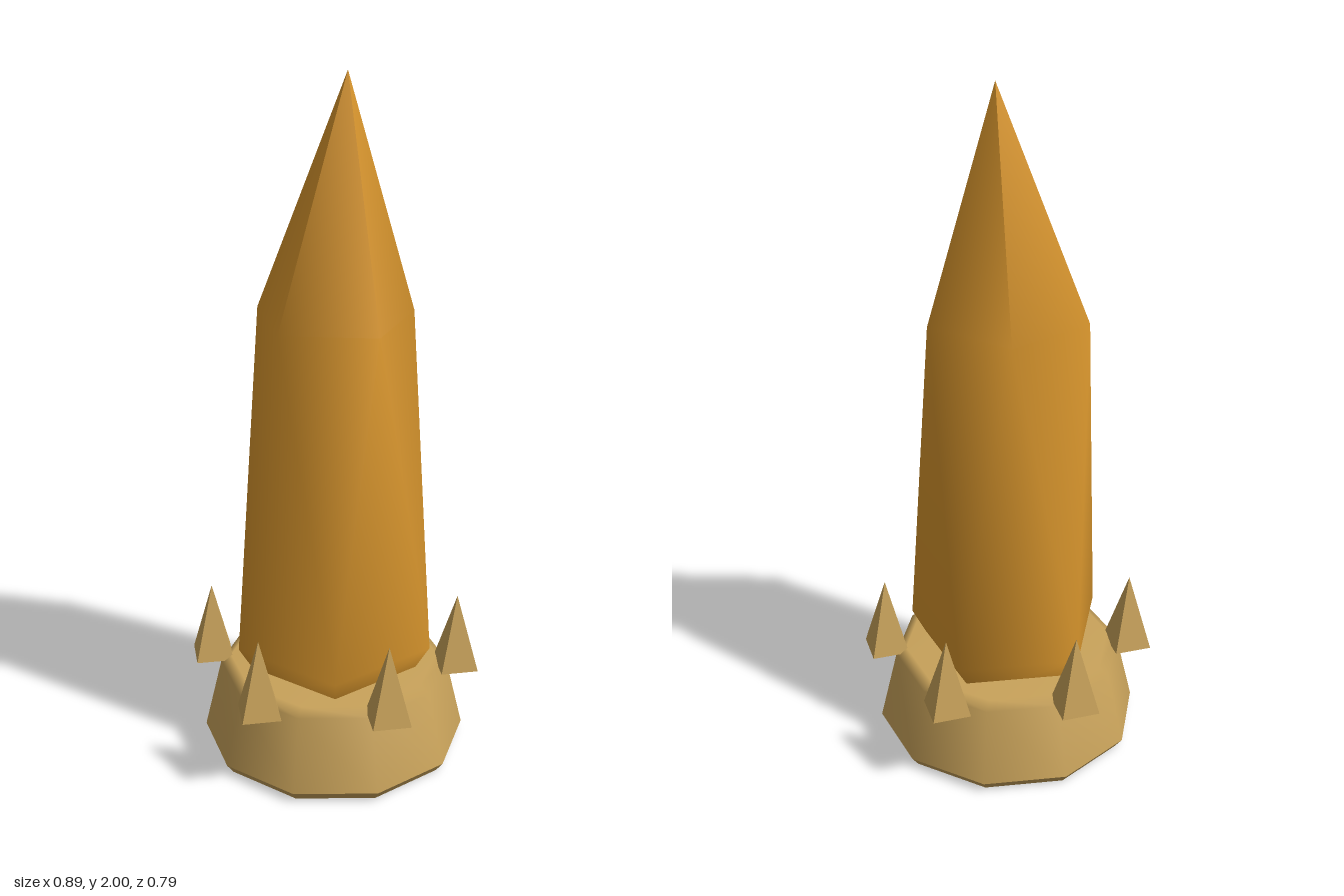
import * as THREE from 'three';

const stone = new THREE.MeshStandardMaterial({ name: 'sandStone', color: 0xc8a25a });
const stoneFlat = stone.clone(); // same colour, faceted
stoneFlat.name = 'sandStoneFaceted';
stoneFlat.flatShading = true;
const amber = new THREE.MeshStandardMaterial({ name: 'amber', color: 0xd9962d });

const SIDES = 5;

// Leaning five-sided crystal: stacked rings, the upper one twisted, ending in a point
function crystalGeometry() {
  const rings = [
    { r: 0.22, y: 0.21, turn: 0 },
    { r: 0.296, y: 0.34, turn: 0 },
    { r: 0.232, y: 1.34, turn: 41 },
  ];
  const pos = [], index = [];
  for (const { r, y, turn } of rings) {
    for (let i = 0; i < SIDES; i++) {
      const a = THREE.MathUtils.degToRad(turn + i * 360 / SIDES);
      pos.push(r * Math.cos(a), y, r * Math.sin(a));
    }
  }
  for (let k = 0; k < rings.length - 1; k++) {
    for (let i = 0; i < SIDES; i++) {
      const j = (i + 1) % SIDES;
      const a = k * SIDES + i, b = k * SIDES + j;
      index.push(a, a + SIDES, b, b, a + SIDES, b + SIDES);
    }
  }
  // Separate tip corner per face keeps the point crisp
  const top = (rings.length - 1) * SIDES;
  for (let i = 0; i < SIDES; i++) {
    index.push(top + i, pos.length / 3, top + (i + 1) % SIDES);
    pos.push(0.065, 2, 0);
  }
  const g = new THREE.BufferGeometry();
  g.setAttribute('position', new THREE.Float32BufferAttribute(pos, 3));
  g.setIndex(index);
  g.computeVertexNormals();
  return g;
}

export function createModel() {
  const model = new THREE.Group();
  model.name = 'crystalOnPedestal';
  const add = (name, geometry, material) => {
    const mesh = new THREE.Mesh(geometry, material);
    mesh.name = name;
    model.add(mesh);
    return mesh;
  };
  const lathe = (pts) => new THREE.LatheGeometry(pts.map(([x, y]) => new THREE.Vector2(x, y)), 10);

  // Ten-sided pedestal, split where its edges are sharp
  add('pedestalBottom', lathe([[0, 0], [0.37, 0]]), stone);
  add('pedestalFoot', lathe([[0.37, 0], [0.392, 0.03]]), stone);
  add('pedestalBody', lathe([[0.392, 0.03], [0.34, 0.25], [0.31, 0.27], [0, 0.27]]), stone);

  add('crystal', crystalGeometry(), amber);

  // Ring of six small four-sided spikes
  const spike = new THREE.ConeGeometry(0.078, 0.23, 4);
  for (let i = 0; i < 6; i++) {
    const a = i * Math.PI / 3;
    add('spike' + (i + 1), spike, stoneFlat).position.set(0.367 * Math.cos(a), 0.37, 0.367 * Math.sin(a));
  }
  return model;
}
